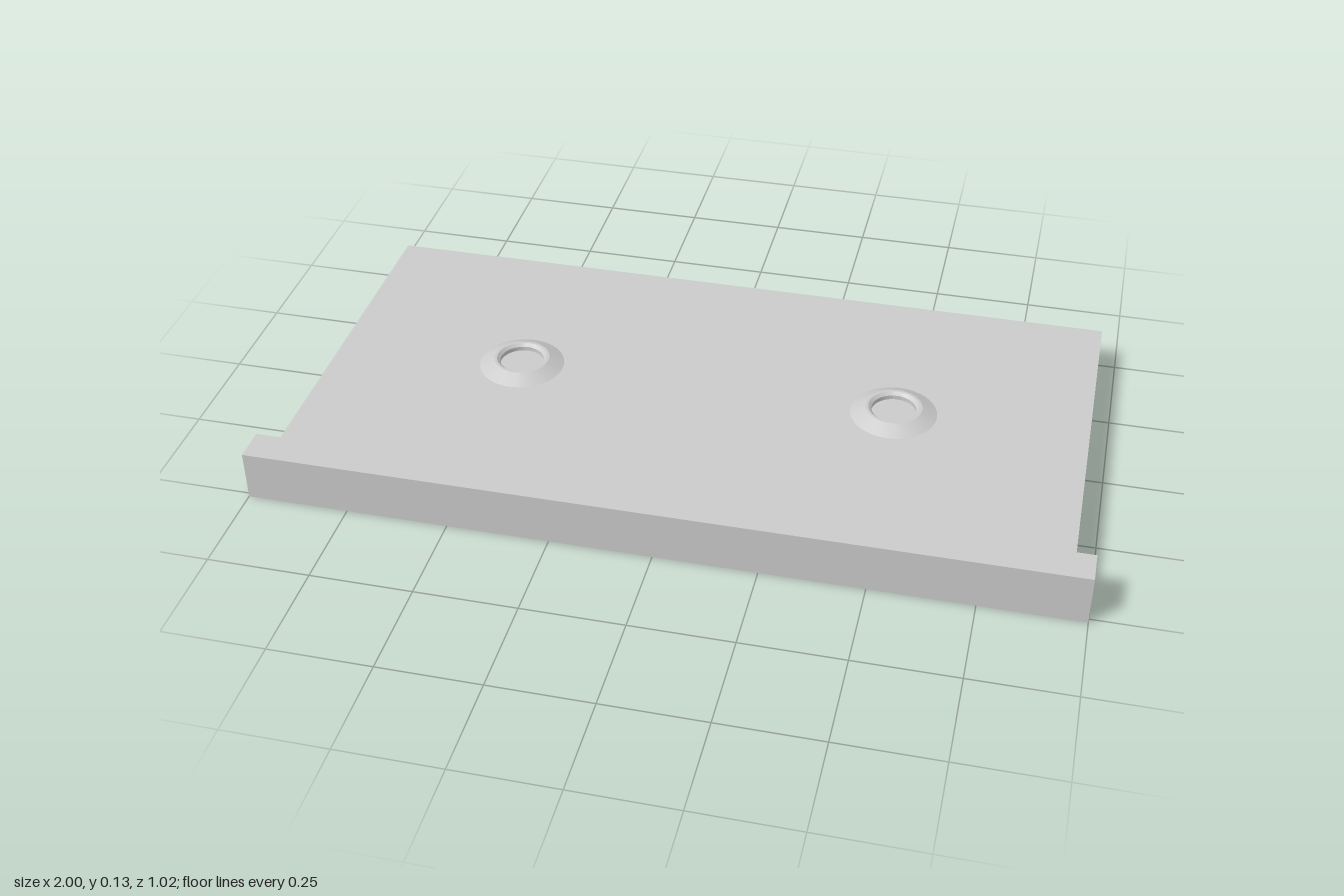
import * as THREE from 'three';
import { toCreasedNormals } from 'three/addons/utils/BufferGeometryUtils.js';

const material = new THREE.MeshStandardMaterial({ color: 0xcccccc });

// Box given by its minimum and maximum corners
function box(name, min, max) {
  const size = max.map((v, i) => v - min[i]);
  const mesh = new THREE.Mesh(new THREE.BoxGeometry(...size), material);
  mesh.position.set(...max.map((v, i) => (v + min[i]) / 2));
  mesh.name = name;
  return mesh;
}

export function createModel() {
  const group = new THREE.Group();
  group.name = 'shelfPanel';

  // Flat panel and the taller, wider rail along its front edge
  group.add(box('panel', [-0.955, 0.026, -0.512], [0.955, 0.1, 0.427]));
  group.add(box('frontRail', [-1, 0, 0.427], [1, 0.126, 0.512]));

  // Low conical collars with a shallow round recess
  const profile = [
    [0.107, 0], [0.07, 0.019], [0.063, 0.019], [0.055, 0.012], [0.055, 0.001], [0, 0.001],
  ].map(([r, y]) => new THREE.Vector2(r, y));
  const collarGeometry = toCreasedNormals(new THREE.LatheGeometry(profile, 48), 0.35);
  for (const side of [-1, 1]) {
    const collar = new THREE.Mesh(collarGeometry, material);
    collar.name = side > 0 ? 'leftCollar' : 'rightCollar';
    collar.position.set(side * 0.477, 0.1, -0.036);
    group.add(collar);
  }
  return group;
}
